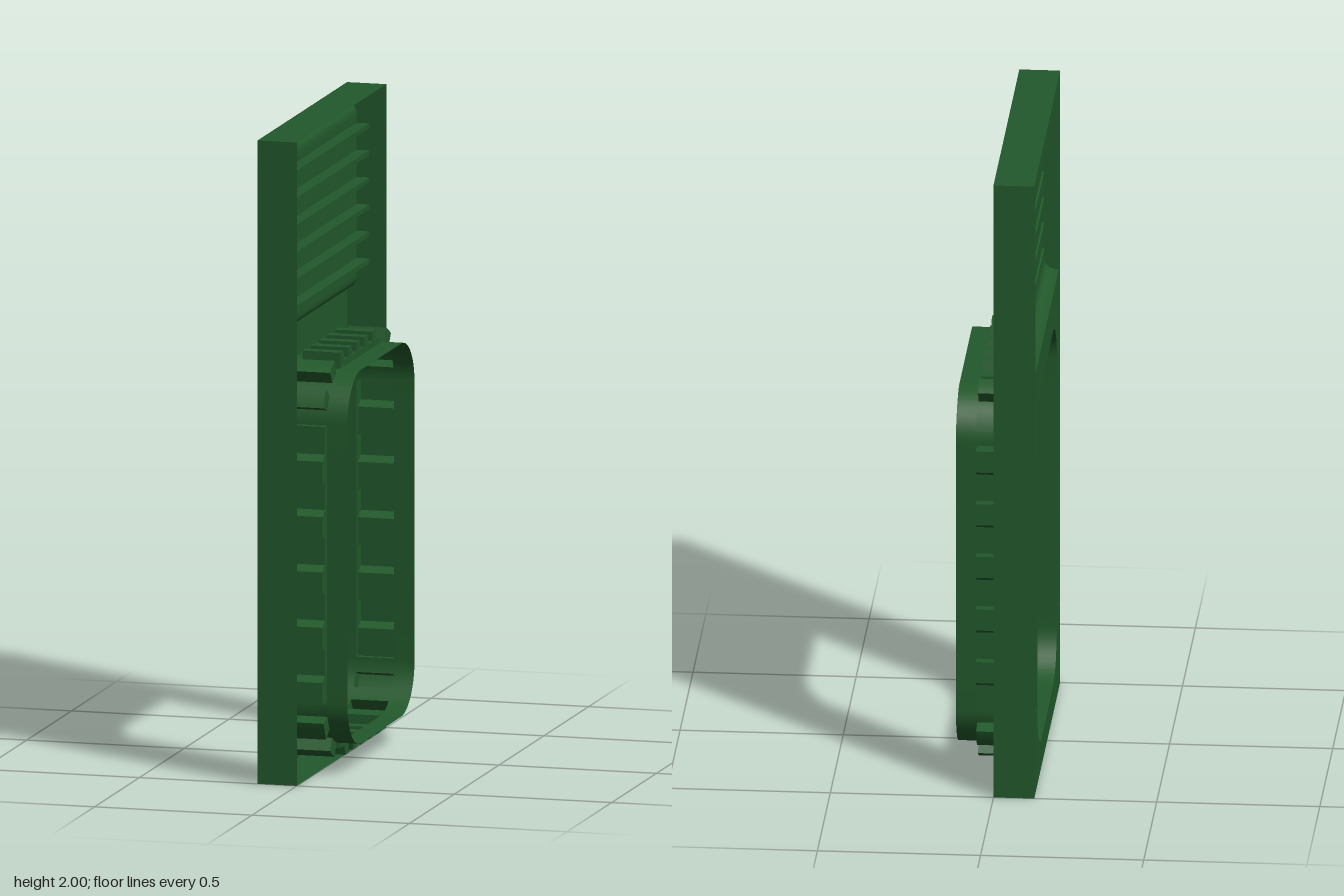
import * as THREE from 'three';
import { toCreasedNormals } from 'three/addons/utils/BufferGeometryUtils.js';

const BACK = -0.125, FRONT = 0.125;

// Surface through rows of [x, y, z] points
function sweep(rows) {
  const n = rows[0].length, index = [];
  for (let r = 0; r < rows.length - 1; r++) {
    for (let i = 0; i < n - 1; i++) {
      const a = r * n + i, b = a + n;
      index.push(a, b, a + 1, a + 1, b, b + 1);
    }
  }
  const g = new THREE.BufferGeometry();
  g.setAttribute('position', new THREE.Float32BufferAttribute(rows.flat(2), 3));
  g.setIndex(index);
  return toCreasedNormals(g, 0.5);
}

// Closed outline of a rectangle in the (z, y) plane
function rect(z0, z1, y0, y1, Type = THREE.Path) {
  return new Type([[z0, y0], [z1, y0], [z1, y1], [z0, y1]].map(p => new THREE.Vector2(...p)));
}

// Rounded window outline: base point, outward normal and bump height at each step
function windowOutline() {
  const cy = 0.67, hz = 0.225, hy = 0.43, r = 0.15, pts = [];
  const add = (z, y, angle, bump) => pts.push({ z, y, nz: Math.cos(angle), ny: Math.sin(angle), bump });
  for (let s = 0; s < 4; s++) {
    const a = s * Math.PI / 2, c = Math.round(Math.cos(a)), d = Math.round(Math.sin(a));
    const half = s % 2 ? hz : hy, reach = (s % 2 ? hy : hz) + r;
    const edge = (t, bump) => add(c * reach - d * t, cy + d * reach + c * t, a, bump);
    // straight pad with five ribs
    edge(-half, 0);
    const pitch = 2 * half / 5;
    for (let k = 0; k < 5; k++) {
      const t = -half + k * pitch;
      edge(t, 0.05);
      edge(t + pitch * 0.4, 0.05);
      edge(t + pitch * 0.5, 0.02);
      edge(t + pitch, 0.02);
    }
    edge(half, 0);
    // rounded corner with two teeth
    const cz = (c - d) * hz, ccy = cy + (c + d) * hy;
    const arc = (deg, bump) => {
      const q = a + THREE.MathUtils.degToRad(deg);
      add(cz + r * Math.cos(q), ccy + r * Math.sin(q), q, bump);
    };
    for (let deg = 0; deg <= 90; deg += 3) {
      const inTooth = Math.min(Math.abs(deg - 27), Math.abs(deg - 63)) <= 9;
      const starts = deg === 18 || deg === 54, ends = deg === 36 || deg === 72;
      if (starts) arc(deg, 0);
      arc(deg, inTooth ? 0.045 : 0);
      if (ends) arc(deg, 0);
    }
  }
  pts.push(pts[0]);
  return pts;
}

export function createModel() {
  const group = new THREE.Group();
  const material = new THREE.MeshStandardMaterial({ color: 0x22592b, side: THREE.DoubleSide });
  const add = (name, geometry) => {
    const mesh = new THREE.Mesh(geometry, material);
    mesh.name = name;
    group.add(mesh);
    return mesh;
  };
  const outline = windowOutline();

  // Back panel with window, grille and side slot openings
  const panel = rect(-0.5, 0.5, 0, 2, THREE.Shape);
  panel.holes.push(new THREE.Path(outline.slice(0, -1).map(p => new THREE.Vector2(p.z, p.y))));
  panel.holes.push(rect(-0.45, 0.45, 1.37, 1.95));
  for (const s of [-1, 1]) panel.holes.push(rect(s * 0.43, s * 0.475, 0.27, 1.08));
  const panelGeometry = new THREE.ShapeGeometry(panel);
  panelGeometry.rotateY(-Math.PI / 2);
  panelGeometry.translate(BACK, 0, 0);
  add('backPanel', panelGeometry);

  // Shallow rim around the panel
  const corners = [[-0.5, 0], [-0.5, 2], [0.5, 2], [0.5, 0], [-0.5, 0]];
  add('rim', sweep([BACK, 0].map(x => corners.map(([z, y]) => [x, y, z]))));

  // Window collar with ribs pressed outward in its middle band
  const bands = [[BACK, 0], [-0.06, 0], [-0.06, 1], [0.06, 1], [0.06, 0], [FRONT, 0]];
  add('windowCollar', sweep(bands.map(([x, f]) =>
    outline.map(p => [x, p.y + p.ny * p.bump * f, p.z + p.nz * p.bump * f]))));

  // Ribbed grille, a raised profile drawn across the panel
  const bend = (p, q, r) => new THREE.QuadraticBezierCurve(
    new THREE.Vector2(...p), new THREE.Vector2(...q), new THREE.Vector2(...r)).getPoints(8);
  const profile = bend([BACK, 1.37], [-0.08, 1.37], [-0.08, 1.41]);
  for (let k = 0; k < 6; k++) {
    const y = 1.435 + k * 0.084;
    for (const [x, dy] of [[-0.08, 0], [-0.04, 0.015], [-0.04, 0.03], [-0.08, 0.03]]) {
      profile.push(new THREE.Vector2(x, y + dy));
    }
  }
  profile.push(...bend([-0.08, 1.91], [-0.08, 1.95], [BACK, 1.95]));
  add('grille', sweep([-0.45, 0.45].map(z => profile.map(p => [p.x, p.y, z]))));

  // Rounded grille ends
  const end = new THREE.Shape([
    ...bend([BACK, 1.37], [-0.04, 1.37], [-0.04, 1.44]),
    ...bend([-0.04, 1.88], [-0.04, 1.95], [BACK, 1.95])
  ]);
  for (const s of [-1, 1]) {
    add('grilleEnd', new THREE.ShapeGeometry(end)).position.z = s * 0.45;
  }

  // Raised channels beside the window
  for (const s of [-1, 1]) {
    const loop = [[0.43, 0.27], [0.475, 0.27], [0.475, 1.08], [0.43, 1.08], [0.43, 0.27]];
    const ring = x => loop.map(([z, y]) => [x, y, s * z]);
    const floor = loop.map(() => [-0.085, 0.675, s * 0.4525]);
    add('sideChannel', sweep([ring(BACK), ring(-0.085), floor]));
  }
  return group;
}
